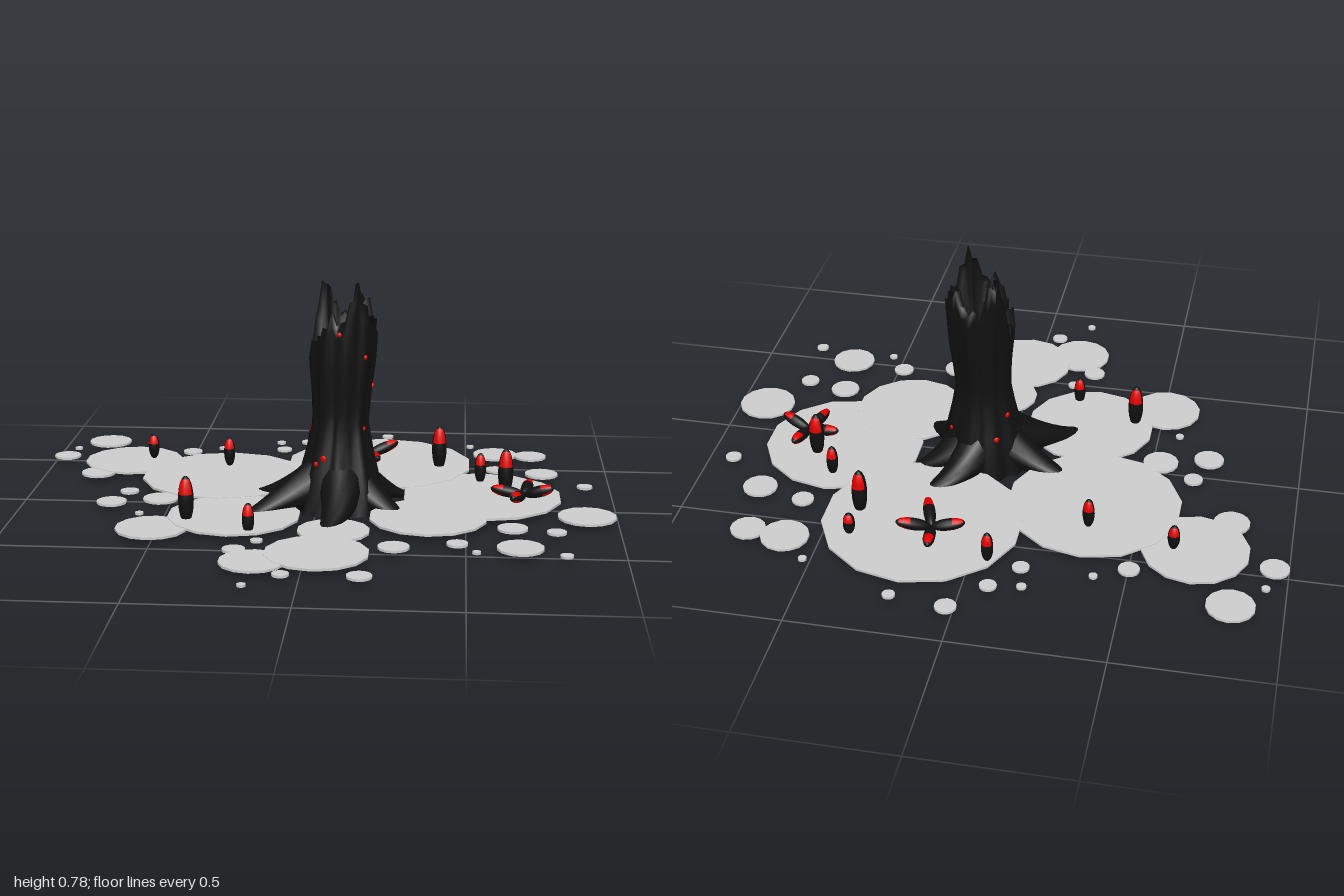
import * as THREE from 'three';

const black = new THREE.MeshStandardMaterial({ color: 0x101010 });
black.name = 'charred black';
const red = new THREE.MeshStandardMaterial({ color: 0xe00000 });
red.name = 'ember red';
const grey = new THREE.MeshStandardMaterial({ color: 0xcccccc });
grey.name = 'pale grey';

const TAU = Math.PI * 2;

function addMesh(parent, name, geometry, material) {
  const mesh = new THREE.Mesh(geometry, material);
  mesh.name = name;
  parent.add(mesh);
  return mesh;
}

// Skin over a list of closed rings of [x, y, z] points
function loft(rings) {
  const n = rings[0].length, index = [];
  for (let i = 0; i < rings.length - 1; i++) {
    for (let j = 0; j < n; j++) {
      const k = (j + 1) % n;
      const a = i * n + j, b = i * n + k, c = a + n, d = b + n;
      index.push(a, c, b, b, c, d);
    }
  }
  const g = new THREE.BufferGeometry();
  g.setAttribute('position', new THREE.Float32BufferAttribute(rings.flat(2), 3));
  g.setIndex(index);
  g.computeVertexNormals();
  return g;
}

// Trunk: radius by height, grooved bark, and a splintered rim
const PROFILE = [[0, 0.15], [0.1, 0.132], [0.2, 0.108], [0.3, 0.09], [0.4, 0.097], [0.5, 0.108], [0.65, 0.114], [0.8, 0.11]];
const RIM = [0.6, 0.66, 0.63, 0.7, 0.78, 0.72, 0.65, 0.68, 0.63, 0.6, 0.58, 0.52,
  0.55, 0.5, 0.63, 0.755, 0.74, 0.68, 0.65, 0.66, 0.71, 0.7, 0.61, 0.64];

function trunkRadius(y, a) {
  let i = 0;
  while (i < PROFILE.length - 2 && y > PROFILE[i + 1][0]) i++;
  const [y0, r0] = PROFILE[i], [y1, r1] = PROFILE[i + 1];
  const r = r0 + (r1 - r0) * (y - y0) / (y1 - y0);
  return r * (1 + 0.05 * Math.sin(9 * a + 3 * y) + 0.03 * Math.sin(17 * a) + 0.05 * Math.sin(a) ** 2);
}

function trunkPoint(a, y, scale = 1) {
  const r = trunkRadius(y, a) * scale;
  return [0.07 + 0.02 * y + r * Math.cos(a), y, -0.01 - 0.035 * y + r * Math.sin(a)];
}

function makeTrunk() {
  const n = 48, rows = 14, rings = [];
  const angle = j => (j / n) * TAU;
  const rim = j => (j % 2 ? (RIM[(j - 1) / 2] + RIM[((j + 1) / 2) % 24]) / 2 - 0.03 : RIM[j / 2]);
  const ring = fn => rings.push(Array.from({ length: n }, (_, j) => fn(j)));
  for (let i = 0; i <= rows; i++) ring(j => trunkPoint(angle(j), rim(j) * i / rows));
  ring(j => trunkPoint(angle(j), rim(j) - 0.01, 0.78));   // wall thickness
  ring(j => trunkPoint(angle(j), 0.46, 0.6));             // hollow
  ring(() => [0.079, 0.45, -0.026]);                      // hollow floor
  return loft(rings);
}

// Root: flattened tapering tube from the trunk's core to a hooked tip
function makeRoot(cx, cz, tx, tz) {
  const curve = new THREE.QuadraticBezierCurve3(
    new THREE.Vector3(0.07, 0, -0.01), new THREE.Vector3(cx, 0, cz), new THREE.Vector3(tx, 0, tz));
  const rings = [], steps = 12, n = 12;
  for (let i = 0; i <= steps; i++) {
    const t = i / steps, p = curve.getPoint(t), d = curve.getTangent(t);
    const w = i === steps ? 0.002 : 0.072 * (1 - t) ** 0.8 + 0.012;
    const h = 0.01 + 0.12 * (1 - t) ** 1.5;
    rings.push(Array.from({ length: n }, (_, j) => {
      const c = w * Math.cos(j / n * TAU), s = h * Math.sin(j / n * TAU);
      return [p.x - d.z * c, h + s, p.z + d.x * c];
    }));
  }
  return loft(rings);
}

// Pod: slim ellipsoid with a red patch on two opposite sides, origin at its foot
const podBody = new THREE.SphereGeometry(1, 12, 12);
const podPatches = [Math.PI / 6, Math.PI * 7 / 6].map(
  start => new THREE.SphereGeometry(1.025, 4, 3, start, Math.PI * 2 / 3, Math.PI / 6, Math.PI / 4));

function makePod(name, radius, height) {
  const pod = new THREE.Group();
  pod.name = name;
  const parts = [addMesh(pod, 'podBody', podBody, black),
    ...podPatches.map(g => addMesh(pod, 'podPatch', g, red))];
  for (const m of parts) {
    m.scale.set(radius, height / 2, radius);
    m.position.y = height / 2;
  }
  return pod;
}

export function createModel() {
  const model = new THREE.Group();
  model.name = 'stumpWithPods';

  // Ground discs: x, z, radius; large ones stacked from the top down
  const big = [
    [0.19, -0.45, 0.33], [-0.345, -0.255, 0.29], [0.377, 0.185, 0.195], [0.555, -0.07, 0.27],
    [-0.26, 0.205, 0.22], [0.04, 0.575, 0.165], [-0.7, -0.435, 0.175], [0.077, 0.345, 0.118],
    [-0.15, 0.665, 0.105], [-0.51, 0.355, 0.118]];
  const small = [
    [-0.835, -0.695, 0.078], [-0.955, -0.485, 0.048], [-0.8, -0.27, 0.06], [-0.505, -0.575, 0.035],
    [-0.935, -0.59, 0.014], [-0.4, -0.63, 0.014], [-0.19, -0.725, 0.016], [-0.087, -0.74, 0.028],
    [-0.17, -0.63, 0.028], [0.02, -0.865, 0.035], [0.205, -0.843, 0.021], [0.517, -0.72, 0.014],
    [0.607, -0.615, 0.08], [0.735, -0.6, 0.058], [0.607, -0.41, 0.037], [0.767, -0.368, 0.058],
    [0.91, -0.218, 0.027], [0.897, 0.13, 0.097], [0.65, 0.275, 0.05], [0.79, 0.305, 0.032],
    [0.67, 0.473, 0.075], [0.81, 0.54, 0.021], [0.473, 0.445, 0.035], [0.533, 0.527, 0.014]];
  const front = [
    [0.275, 0.492, 0.051], [0.183, 0.776, 0.04], [-0.053, 0.776, 0.027], [-0.158, 0.88, 0.014],
    [-0.22, 0.553, 0.037], [-0.158, 0.46, 0.02], [-0.53, 0.03, 0.06], [-0.65, -0.05, 0.032],
    [-0.69, 0.077, 0.051], [-0.575, 0.2, 0.014]];
  const discs = new THREE.Group();
  discs.name = 'groundDiscs';
  [...big, ...small, ...front].forEach(([x, z, r], i) => {
    const disc = addMesh(discs, 'groundDisc', new THREE.CylinderGeometry(r, r, 0.008, 14), grey);
    disc.position.set(x, 0.027 - Math.min(i, 10) * 0.0004, z);
  });
  model.add(discs);

  // Broken tree stump
  const stump = new THREE.Group();
  stump.name = 'stump';
  addMesh(stump, 'trunk', makeTrunk(), black);
  const roots = [
    [0.09, -0.2, 0.245, -0.285], [0.2, -0.13, 0.3, -0.13], [0.2, 0.04, 0.3, 0.145],
    [0.11, 0.2, 0.03, 0.355], [-0.11, 0.06, -0.25, 0.21], [-0.08, -0.06, -0.25, -0.105]];
  for (const r of roots) addMesh(stump, 'root', makeRoot(...r), black);

  // Ember flecks on the bark: angle, height, size
  const flecks = [
    [2.0, 0.19, 0.011], [2.2, 0.17, 0.009], [1.6, 0.61, 0.008], [0.8, 0.53, 0.008], [0.1, 0.42, 0.01],
    [0.5, 0.28, 0.008], [3.7, 0.22, 0.01], [4.2, 0.15, 0.01], [3.3, 0.13, 0.01], [5.6, 0.16, 0.008]];
  const fleckShape = new THREE.SphereGeometry(1, 8, 6);
  for (const [a, y, s] of flecks) {
    const fleck = addMesh(stump, 'emberFleck', fleckShape, red);
    fleck.position.set(...trunkPoint(a, y));
    fleck.rotation.y = -a;
    fleck.scale.set(0.0045, s, s);
  }
  model.add(stump);

  // Upright pods: x, z, foot height, top height
  const pods = [
    [-0.63, -0.45, 0.03, 0.12], [-0.345, -0.38, 0.025, 0.133], [-0.41, 0.26, 0.01, 0.172],
    [-0.195, 0.365, 0.01, 0.117], [-0.06, -0.62, 0.025, 0.133], [0.405, -0.565, 0.025, 0.105],
    [0.405, -0.43, 0.01, 0.178], [0.55, -0.245, 0.02, 0.13], [0.635, -0.135, 0.01, 0.178]];
  for (const [x, z, y0, y1] of pods) {
    const pod = makePod('uprightPod', y1 - y0 > 0.14 ? 0.026 : 0.02, y1 - y0);
    pod.position.set(x, y0, z);
    model.add(pod);
  }

  // Open pod clusters: x, z and the target offset of each petal
  const clusters = [
    [0.147, -0.505, [[-0.015, -0.12], [0.105, -0.045], [0.04, 0.12], [-0.1, 0.02]]],
    [0.695, -0.035, [[0.022, -0.105], [0.095, 0.03], [-0.04, 0.1], [-0.105, -0.015]]]];
  for (const [x, z, petals] of clusters) {
    const cluster = new THREE.Group();
    cluster.name = 'podCluster';
    cluster.position.set(x, 0.045, z);
    petals.forEach(([dx, dz], i) => {
      const petal = makePod('petalPod', 0.02, Math.hypot(dx, dz) + 0.008);
      petal.rotation.set(Math.PI / 2 - (i === 1 ? 0.32 : 0.15), Math.atan2(dx, dz), 0, 'YXZ');
      cluster.add(petal);
    });
    model.add(cluster);
  }
  return model;
}
